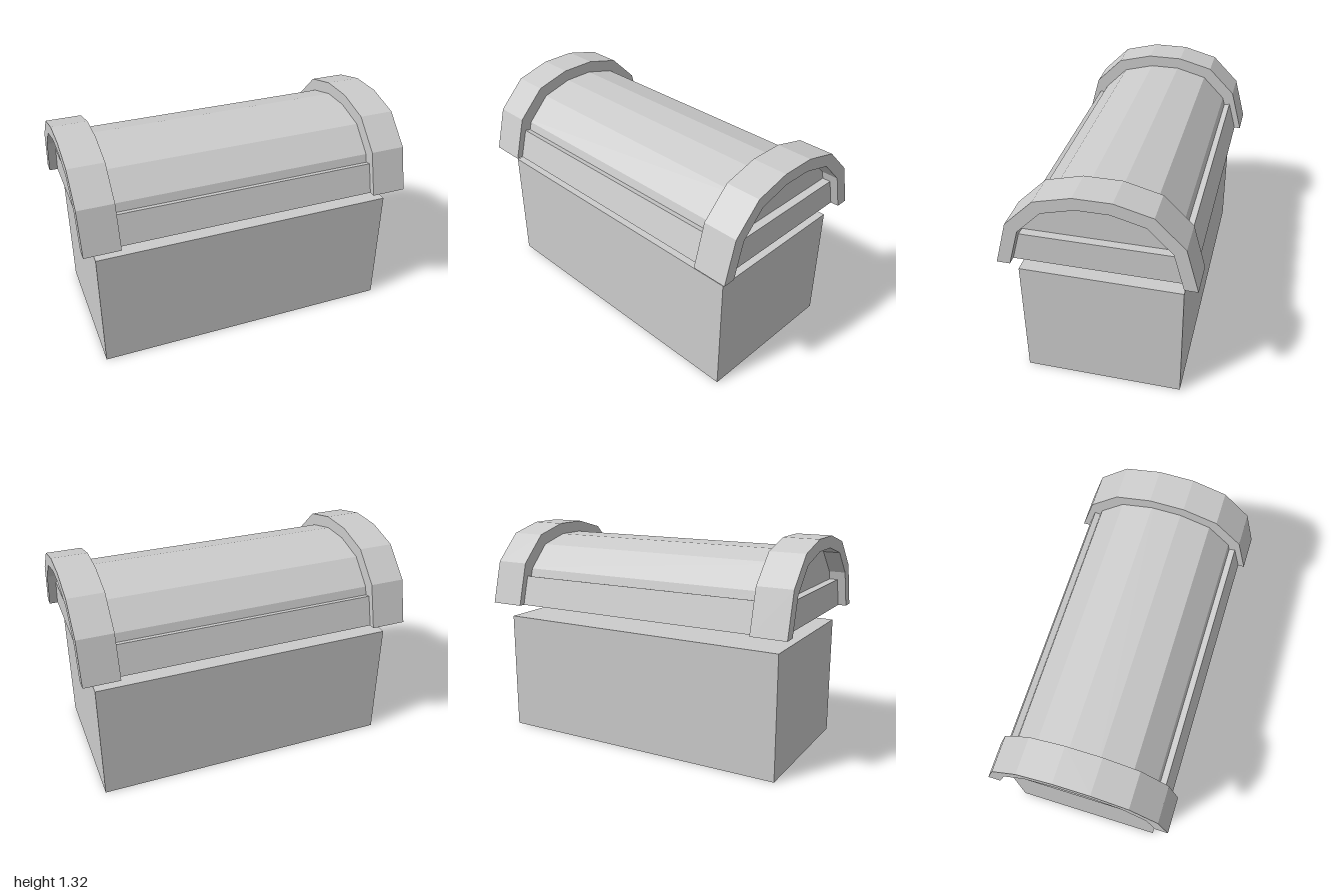
import * as THREE from 'three';

// Right half of each cross-section as [z, y], from the foot up to the crown
const OUTER = [[0.55, 0.84], [0.48, 1.10], [0.315, 1.265], [0.105, 1.32]];
const INNER = [[0.475, 0.84], [0.415, 1.06], [0.277, 1.20], [0.09, 1.25]];
const LINING = [[0.445, 0.84], [0.385, 1.045], [0.26, 1.17], [0.085, 1.22]];

// Mirror a half profile into a full arch running from foot to foot
const arch = (half) => [...half, ...half.map(([z, y]) => [-z, y]).reverse()];

export function createModel() {
  const model = new THREE.Group();
  model.name = 'chest';
  const grey = new THREE.MeshStandardMaterial({ color: 0xcccccc });
  grey.name = 'plain grey';

  // Extrude a closed z-y outline along x between two positions
  function addPrism(name, outline, x0, x1, parent) {
    const shape = new THREE.Shape(outline.map(([z, y]) => new THREE.Vector2(-z, y)));
    const geometry = new THREE.ExtrudeGeometry(shape, { depth: x1 - x0, bevelEnabled: false });
    geometry.rotateY(Math.PI / 2).translate(x0, 0, 0);
    const mesh = new THREE.Mesh(geometry, grey);
    mesh.name = name;
    parent.add(mesh);
  }
  const band = (outer, inner) => [...arch(outer), ...arch(inner).reverse()];

  // Chest body
  const body = new THREE.Mesh(new THREE.BoxGeometry(1.845, 0.743, 0.93), grey);
  body.name = 'body';
  body.position.y = 0.3715;
  model.add(body);

  // Hollow faceted lid, raised above the body
  const lid = new THREE.Group();
  lid.name = 'lid';
  model.add(lid);
  addPrism('lidBarrel', band(INNER, LINING), -0.9, 0.9, lid);

  for (const s of [-1, 1]) {
    const span = (a, b) => (s > 0 ? [a, b] : [-b, -a]);
    const side = s > 0 ? 'left' : 'right';

    // Thick arched band, recessed end wall and the rail across its foot
    addPrism(side + 'EndBand', band(OUTER, INNER), ...span(0.787, 1), lid);
    addPrism(side + 'EndWall', arch(LINING), ...span(0.87, 0.9), lid);
    addPrism(side + 'EndRail',
      [[0.475, 0.84], [0.43, 1.01], [-0.43, 1.01], [-0.475, 0.84]], ...span(0.9, 0.95), lid);

    // Long slanted rail along the foot of the barrel
    addPrism(s > 0 ? 'frontRail' : 'backRail',
      [[0.512, 0.84], [0.464, 1.018], [0.427, 1.01], [0.475, 0.84]].map(([z, y]) => [s * z, y]),
      -0.79, 0.79, lid);
  }
  return model;
}
